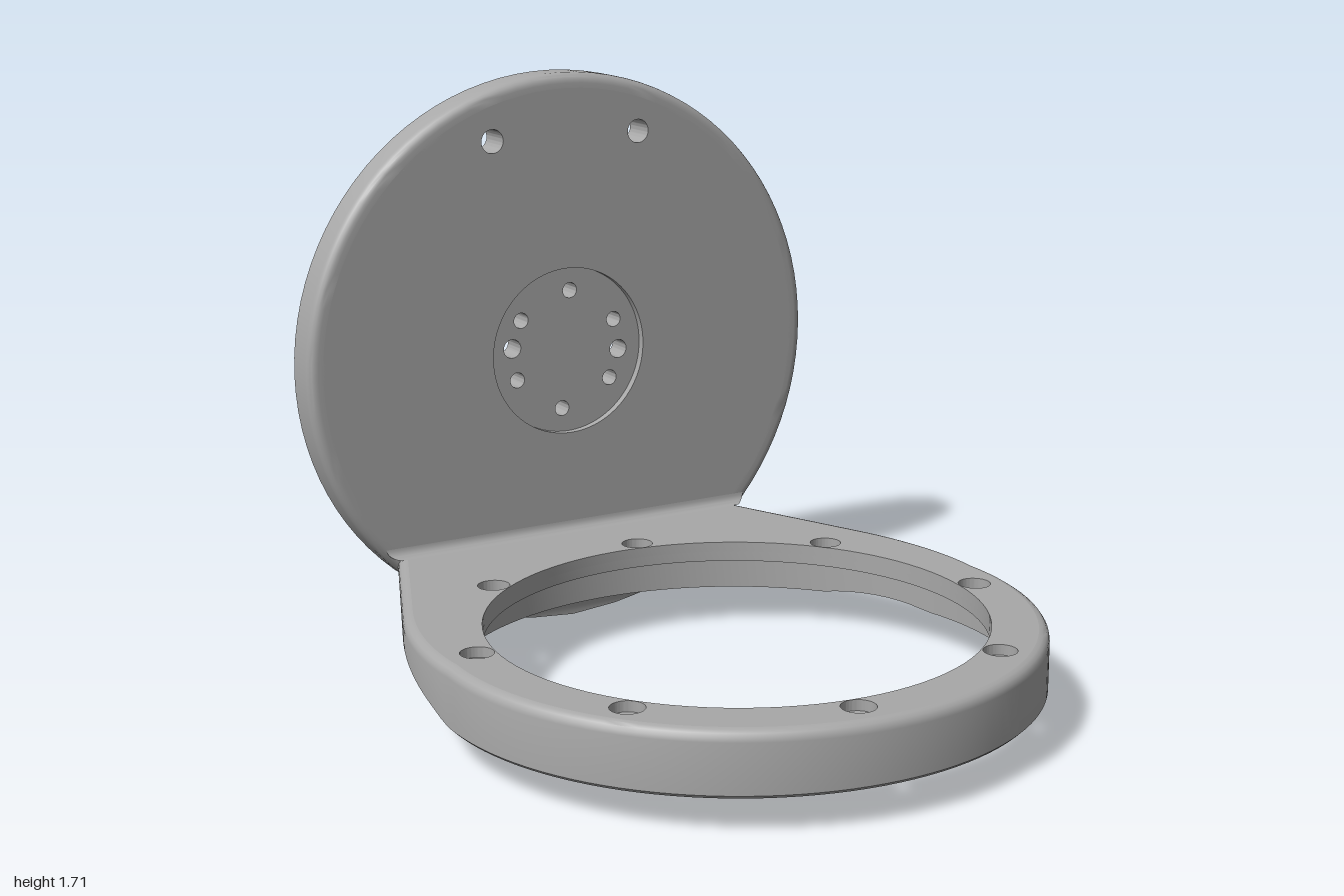
import * as THREE from 'three';
import { toCreasedNormals } from 'three/addons/utils/BufferGeometryUtils.js';

const metal = new THREE.MeshStandardMaterial({ color: 0xa8a8a8, side: THREE.DoubleSide });
metal.name = 'grey metal';

const DISC_R = 0.855, FRONT = -0.865, BACK = -0.98; // upright disc
const RING_Z = 0.125, RING_R = 0.87, BORE_R = 0.71, RECESS_R = 0.82; // flat ring
const TOP = 0.28, BOTTOM = 0.1, FLOOR = 0.22, ROUND = 0.03;

function mesh(name, geometry, parent) {
  const m = new THREE.Mesh(toCreasedNormals(geometry, 0.5), metal);
  m.name = name;
  parent.add(m);
  return m;
}

const disk = (r, x = 0, y = 0) => new THREE.Shape().absarc(x, y, r, 0, Math.PI * 2);

function plate(shape, holes, depth) {
  shape.holes.push(...holes.map(([x, y, r]) => disk(r, x, y)));
  return new THREE.ExtrudeGeometry(shape, { depth, bevelEnabled: false, curveSegments: 48 });
}

// Surface through a list of equally long rows of [x, y, z]
function loft(rows) {
  const n = rows[0].length, index = [];
  for (let r = 0; r < rows.length - 1; r++) {
    for (let c = 0; c < n - 1; c++) {
      const a = r * n + c, b = a + n;
      index.push(a, b, a + 1, b, b + 1, a + 1);
    }
  }
  const g = new THREE.BufferGeometry();
  g.setAttribute('position', new THREE.Float32BufferAttribute(rows.flat(2), 3));
  g.setIndex(index);
  g.computeVertexNormals();
  return g;
}

// Half width of the neck: upper edge, lower edge, and height where the undercut starts
function upperX(z) {
  if (z < -0.4) return 0.785 + (z + 0.4) * 0.41;
  const s = (z + 0.4) / 0.48;
  return 0.785 + 0.197 * s - 0.112 * s * s;
}
const lowerX = (z) => 0.87 + (z - 0.08) * 0.495;
const undercutY = (z) => Math.max(0.11, 0.1 + 0.145 * Math.pow(Math.max(0, 0.08 - z) / 0.93, 0.6));

// One vertical section of the ring body, running from the top edge to the recess
function section(x, z, nx, nz, low, start, inner) {
  const pts = [];
  for (let i = 4; i >= 0; i--) {
    const t = (i / 4) * Math.PI / 2, d = ROUND * (1 - Math.cos(t));
    pts.push([x - nx * d, TOP - ROUND + ROUND * Math.sin(t), z - nz * d]);
  }
  pts.push([x, start, z], low, [inner[0], low[1], inner[1]], [inner[0], FLOOR, inner[1]]);
  return pts;
}

function neckSection(z, innerX) {
  const x = upperX(z), start = undercutY(z);
  const slope = (upperX(z + 0.01) - upperX(z - 0.01)) / 0.02, len = Math.hypot(1, slope);
  const lx = Math.min(lowerX(z), x - 0.01);
  // The round recess breaks through the undercut where the lower edge lies inside it
  const t = Math.max(0, (innerX - lx) / (x - lx));
  const low = [lx + t * (x - lx), BOTTOM + t * (start - BOTTOM), z];
  return section(x, z, 1 / len, -slope / len, low, start, [innerX, z]);
}

function ringBody() {
  const half = [neckSection(-0.88, 0), neckSection(-0.79, 0)];
  for (let deg = 0; deg <= 180; deg += 3) {
    const a = deg * Math.PI / 180, s = Math.sin(a), c = -Math.cos(a);
    if (deg < 87) half.push(neckSection(RING_Z + RECESS_R * c, RECESS_R * s));
    else {
      const r = RING_R - 0.01;
      half.push(section(RING_R * s, RING_Z + RING_R * c, s, c,
        [r * s, BOTTOM, RING_Z + r * c], 0.11, [RECESS_R * s, RING_Z + RECESS_R * c]));
    }
  }
  const mirrored = half.slice(0, -1).reverse().map((sec) => sec.map(([x, y, z]) => [-x, y, z]));
  return half.concat(mirrored);
}

function buildRing() {
  const ring = new THREE.Group();
  ring.name = 'ring';
  const sections = ringBody();
  mesh('ringBody', loft(sections), ring);

  const bolts = [];
  for (let i = 0; i < 8; i++) {
    const a = (7.7 + i * 45) * Math.PI / 180;
    bolts.push([0.76 * Math.sin(a), 0.76 * Math.cos(a) - RING_Z]);
  }
  const bolted = (r) => [[0, -RING_Z, BORE_R], ...bolts.map(([x, y]) => [x, y, r])];

  // Top face with counterbores, over the inner ledge with the bolt holes
  const outline = new THREE.Shape(sections.map((s) => new THREE.Vector2(s[0][0], -s[0][2])));
  const upper = mesh('topPlate', plate(outline, bolted(0.047), 0.03), ring);
  upper.rotation.x = -Math.PI / 2;
  upper.position.y = TOP - 0.03;
  const ledge = mesh('innerLedge', plate(disk(RECESS_R, 0, -RING_Z), bolted(0.026), 0.03), ring);
  ledge.rotation.x = -Math.PI / 2;
  ledge.position.y = FLOOR;
  return ring;
}

function buildDisc() {
  const disc = new THREE.Group();
  disc.name = 'disc';
  disc.position.y = DISC_R;

  const small = [];
  for (const deg of [85, 145, 205, 265, 325, 25]) {
    const a = deg * Math.PI / 180;
    small.push([0.186 * Math.cos(a), 0.186 * Math.sin(a), 0.024]);
  }
  const pins = [[-0.184, 0.022, 0.029], [0.184, -0.018, 0.029]];
  const upper = [[-0.248, 0.665, 0.036], [0.248, 0.665, 0.036]];
  const through = [...small, ...pins, ...upper];

  // Layers: back with centre bore, middle web, front with wide shallow recess
  const layers = [
    ['backLayer', BACK, -0.94, [...through, [0, 0, 0.09]]],
    ['middleLayer', -0.94, -0.89, through],
    ['frontLayer', -0.89, FRONT, [...upper, [0, 0, 0.26]]],
  ];
  for (const [name, z0, z1, holes] of layers) {
    mesh(name, plate(disk(0.81), holes, z1 - z0), disc).position.z = z0;
  }

  // Outer rim with rounded front edge
  const profile = [new THREE.Vector2(0.8, BACK), new THREE.Vector2(DISC_R, BACK)];
  for (let i = 0; i <= 5; i++) {
    const t = (i / 5) * Math.PI / 2;
    profile.push(new THREE.Vector2(
      DISC_R - ROUND + ROUND * Math.cos(t), FRONT - ROUND + ROUND * Math.sin(t)));
  }
  profile.push(new THREE.Vector2(0.8, FRONT));
  mesh('discRim', new THREE.LatheGeometry(profile, 96), disc).rotation.x = Math.PI / 2;

  // Raised collars around the small holes at the back
  for (const [x, y, r] of small) {
    mesh('collar', plate(disk(0.048), [[0, 0, r]], 0.02), disc).position.set(x, y, -1);
  }
  return disc;
}

function buildFillets(parent) {
  // Small fillet between the ring top and the disc
  const topRows = [], lowRows = [];
  for (let i = 0; i <= 6; i++) {
    const t = (i / 6) * Math.PI / 2;
    const y = TOP + 0.03 * (1 - Math.cos(t)), z = FRONT + 0.03 * (1 - Math.sin(t));
    const w = 0.595 + 0.035 * Math.sin(t);
    topRows.push([[-w, y, FRONT], [-w, y, z], [w, y, z], [w, y, FRONT]]);
  }
  mesh('topFillet', loft(topRows), parent);

  // Large fillet below the neck, following the round edge of the disc
  for (let i = 0; i <= 12; i++) {
    const t = (i / 12) * Math.PI / 2;
    const y = 0.1 * Math.cos(t), z = -0.75 - 0.115 * Math.sin(t);
    const back = Math.sqrt(Math.max(0, DISC_R ** 2 - (DISC_R - y) ** 2));
    const w = back + 0.49 * (z - FRONT);
    lowRows.push([[-back, y, -0.9], [-w, y, z], [w, y, z], [back, y, -0.9]]);
  }
  mesh('lowerFillet', loft(lowRows), parent);
}

export function createModel() {
  const model = new THREE.Group();
  model.name = 'bracket';
  model.add(buildDisc(), buildRing());
  buildFillets(model);
  return model;
}
